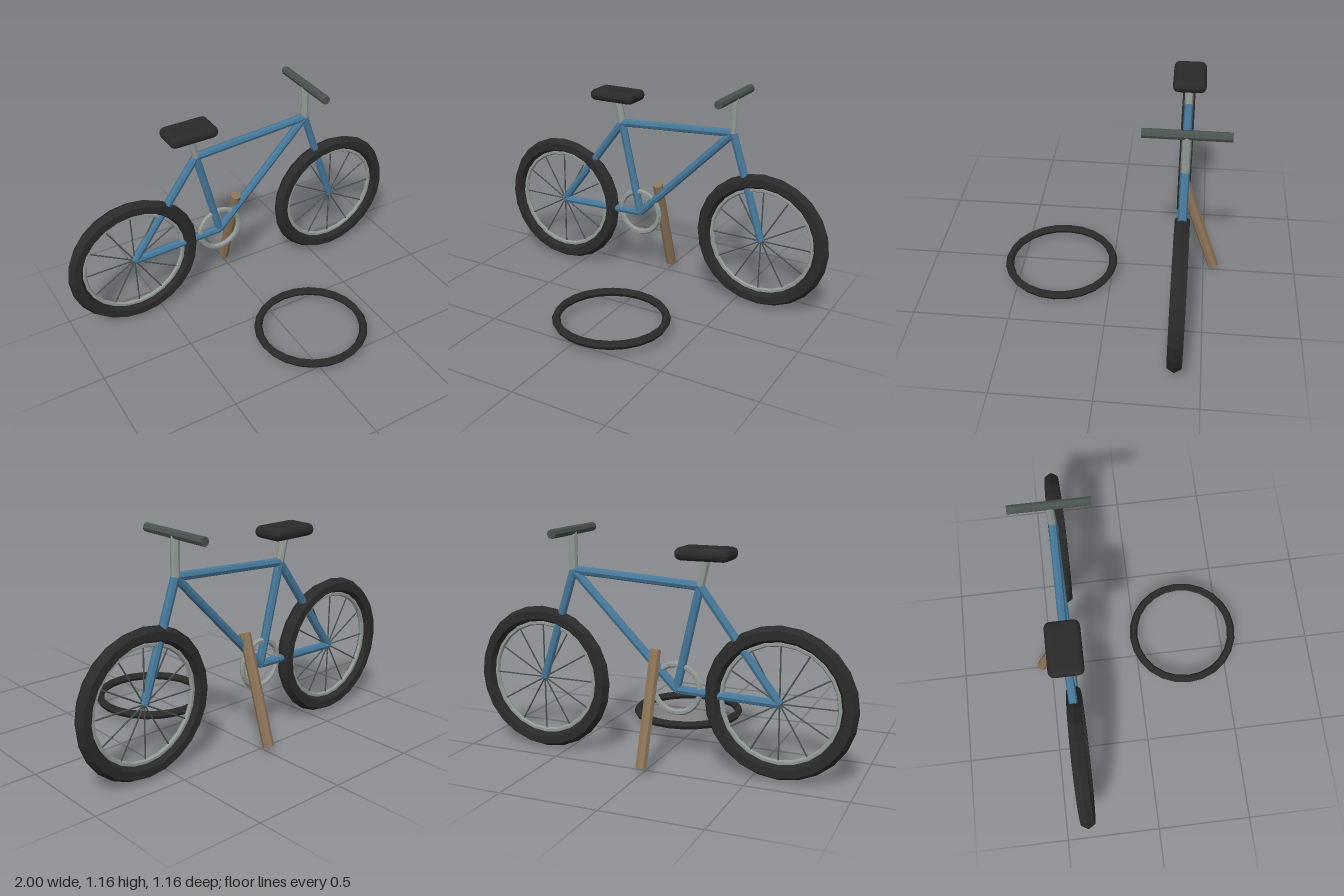
import * as THREE from 'three';
import { RoundedBoxGeometry } from 'three/addons/geometries/RoundedBoxGeometry.js';

export function createModel() {
  const model = new THREE.Group();
  model.name = 'bicycle';

  const mat = (name, color) => {
    const m = new THREE.MeshStandardMaterial({ color, flatShading: true });
    m.name = name;
    return m;
  };
  const rubber = mat('black rubber', 0x2a2a2a);
  const paint = mat('blue paint', 0x46789a);
  const metal = mat('grey metal', 0x929994);
  const darkMetal = mat('dark metal', 0x4a5250);
  const wood = mat('brown wood', 0x8c7458);

  const add = (parent, name, geometry, material, x = 0, y = 0, z = 0) => {
    const mesh = new THREE.Mesh(geometry, material);
    mesh.name = name;
    mesh.position.set(x, y, z);
    parent.add(mesh);
    return mesh;
  };

  // Straight tube between two points
  const UP = new THREE.Vector3(0, 1, 0);
  const tube = (parent, name, a, b, radius, material, sides = 8) => {
    const start = new THREE.Vector3(...a), end = new THREE.Vector3(...b);
    const dir = end.clone().sub(start);
    const mesh = add(parent, name, new THREE.CylinderGeometry(radius, radius, dir.length(), sides), material);
    mesh.position.copy(start).add(end).multiplyScalar(0.5);
    mesh.quaternion.setFromUnitVectors(UP, dir.normalize());
    return mesh;
  };

  const bike = new THREE.Group();
  bike.name = 'bike';
  bike.position.z = -0.37;
  model.add(bike);

  // Wheels: tyre, rim and twelve spokes
  const hubY = 0.377, hubX = 0.627;
  for (const [name, x] of [['rearWheel', -hubX], ['frontWheel', hubX]]) {
    const wheel = new THREE.Group();
    wheel.name = name;
    wheel.position.set(x, hubY, 0);
    add(wheel, 'tyre', new THREE.TorusGeometry(0.332, 0.041, 6, 24), rubber);
    add(wheel, 'rim', new THREE.TorusGeometry(0.287, 0.013, 6, 24), metal);
    for (let i = 0; i < 6; i++) {
      const a = (i * Math.PI) / 6, c = Math.cos(a) * 0.285, s = Math.sin(a) * 0.285;
      tube(wheel, 'spokePair', [-c, -s, 0], [c, s, 0], 0.004, darkMetal, 5);
    }
    bike.add(wheel);
  }

  // Frame
  const rearHub = [-hubX, hubY, 0], frontHub = [hubX, hubY, 0];
  const crank = [-0.11, 0.392, 0], seatJoint = [-0.23, 0.905, 0], head = [0.44, 0.945, 0];
  const frame = [
    ['chainStay', rearHub, crank], ['seatStay', rearHub, seatJoint],
    ['seatTube', crank, seatJoint], ['topTube', seatJoint, head],
    ['downTube', crank, head], ['fork', head, frontHub],
  ];
  for (const [name, a, b] of frame) tube(bike, name, a, b, 0.022, paint);

  // Saddle, handlebar and chainring
  tube(bike, 'seatPost', seatJoint, [-0.262, 1.045, 0], 0.022, metal);
  add(bike, 'saddle', new RoundedBoxGeometry(0.27, 0.062, 0.17, 2, 0.03), rubber, -0.26, 1.06, 0);
  tube(bike, 'stem', head, [0.44, 1.14, 0], 0.022, metal);
  tube(bike, 'handlebar', [0.44, 1.14, -0.203], [0.44, 1.14, 0.203], 0.023, darkMetal);
  add(bike, 'chainring', new THREE.TorusGeometry(0.121, 0.015, 6, 20), metal, -0.11, 0.396, 0);

  // Leaning wooden prop
  tube(model, 'woodenProp', [0, 0.036, -0.552], [0, 0.58, -0.37], 0.029, wood);

  // Spare ring lying in front
  const ring = add(model, 'spareRing', new THREE.TorusGeometry(0.284, 0.022, 6, 24), rubber, 0.09, 0.074, 0.277);
  ring.rotation.x = Math.PI / 2;

  return model;
}
